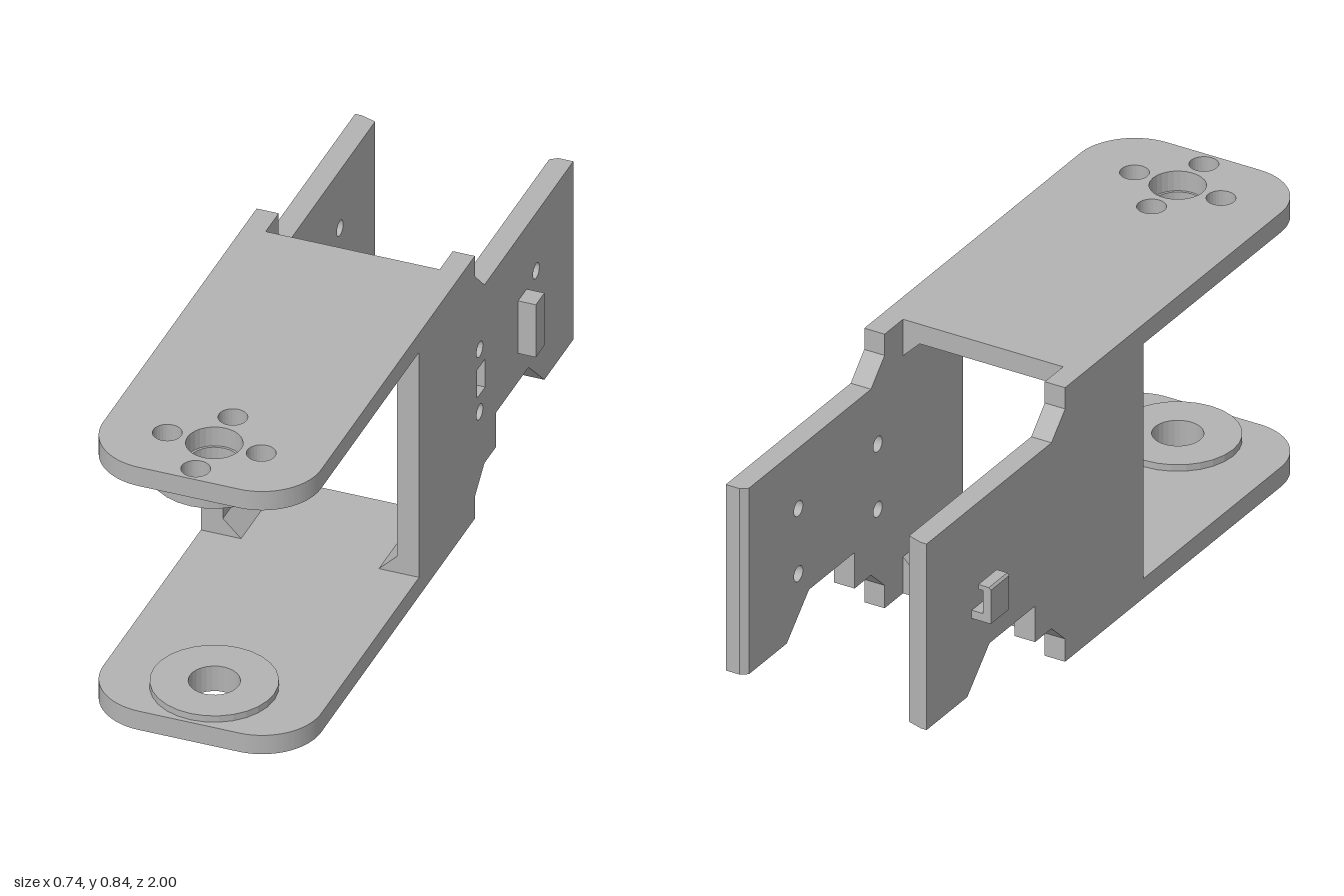
import * as THREE from 'three';

const grey = new THREE.MeshStandardMaterial({ color: 0xb3b3b3 });
grey.name = 'bracket grey';

const HALF = 0.3135, INNER = 0.25;   // outer and inner half widths
const HEIGHT = 0.84, PLATE = 0.06;   // total height, plate thickness
const HUB_Z = 0.815;                 // pivot axis

const outline = (pts) => new THREE.Shape(pts.map(([a, b]) => new THREE.Vector2(a, b)));

function circle(x, y, r) {
  return new THREE.Path().absarc(x, y, r, 0, Math.PI * 2, true);
}

function extrude(shape, depth) {
  return new THREE.ExtrudeGeometry(shape, { depth, bevelEnabled: false, curveSegments: 14 });
}

function addMesh(parent, name, geometry) {
  const mesh = new THREE.Mesh(geometry, grey);
  mesh.name = name;
  parent.add(mesh);
  return mesh;
}

// Horizontal slab: the shape is drawn in (x, -z) and raised from y0 to y1
function slab(parent, name, shape, y0, y1) {
  const g = extrude(shape, y1 - y0).rotateX(-Math.PI / 2).translate(0, y0, 0);
  return addMesh(parent, name, g);
}

// Arm plate with rounded front corners and a pivot hole pattern
function armShape(boreRadius, screwRadius) {
  const s = new THREE.Shape();
  const r = 0.17;
  s.moveTo(-HALF + r, -1);
  s.lineTo(HALF - r, -1);
  s.absarc(HALF - r, -1 + r, r, -Math.PI / 2, 0, false);
  s.lineTo(HALF, -0.12);
  s.lineTo(INNER, -0.12);
  s.lineTo(INNER, 0.19);
  s.lineTo(-INNER, 0.19);
  s.lineTo(-INNER, -0.12);
  s.lineTo(-HALF, -0.12);
  s.absarc(-HALF + r, -1 + r, r, Math.PI, Math.PI * 1.5, false);
  s.holes.push(circle(0, -HUB_Z, boreRadius), ...screwHoles(screwRadius));
  return s;
}

function screwHoles(r) {
  return [[1, 0], [0, 1], [-1, 0], [0, -1]].map(([a, b]) =>
    circle(a * 0.135, -HUB_Z + b * 0.135, r));
}

function hubShape(withScrews) {
  const s = new THREE.Shape().absarc(0, -HUB_Z, 0.173, 0, Math.PI * 2, false);
  s.holes.push(circle(0, -HUB_Z, 0.07));
  if (withScrews) s.holes.push(...screwHoles(0.022));
  return s;
}

// Side wall profile in (-z, y)
function wallShape(screws, slot) {
  const s = outline([
    [-0.12, 0], [0.285, 0], [0.285, 0.07], [0.355, 0.135], [0.44, 0.135], [0.44, 0.245],
    [0.675, 0.245], [0.79, 0.135], [1, 0.135], [1, 0.705], [0.355, 0.705],
    [0.285, 0.775], [0.285, HEIGHT], [-0.12, HEIGHT],
  ]);
  if (screws) {
    for (const u of [0.32, 0.73]) for (const y of [0.32, 0.52]) s.holes.push(circle(u, y, 0.023));
  }
  if (slot) {
    s.holes.push(outline([[0.3, 0.375], [0.3, 0.465], [0.36, 0.465], [0.36, 0.375]]));
  }
  return s;
}

// One layer of a wall between x0 and x1; the inner rear edge is bevelled
function wallLayer(parent, name, shape, x0, x1) {
  const g = extrude(shape, x1 - x0).rotateY(Math.PI / 2).translate(x0, 0, 0);
  const p = g.attributes.position;
  for (let i = 0; i < p.count; i++) {
    if (p.getZ(i) < -0.999 && Math.abs(p.getX(i)) < INNER + 0.001) p.setZ(i, -0.985);
  }
  g.computeVertexNormals();
  addMesh(parent, name, g);
}

export function createModel() {
  const model = new THREE.Group();
  model.name = 'bracket';
  const body = new THREE.Group();
  body.name = 'bracketBody';
  body.position.x = 0.003;
  model.add(body);

  // Arms and pivot hubs
  slab(body, 'upperArm', armShape(0.077, 0.04), HEIGHT - PLATE, HEIGHT);
  slab(body, 'lowerArm', armShape(0.07, 0.022), 0, PLATE);
  slab(body, 'upperHub', hubShape(true), 0.743, HEIGHT - PLATE);
  slab(body, 'lowerHub', hubShape(false), PLATE, 0.08);

  // Left wall has through screw holes and a blind slot; right wall has blind screw holes
  const mid = 0.295;
  wallLayer(body, 'leftWallInner', wallShape(true, false), INNER, 0.27);
  wallLayer(body, 'leftWallOuter', wallShape(true, true), 0.27, HALF);
  wallLayer(body, 'rightWallInner', wallShape(true, false), -mid, -INNER);
  wallLayer(body, 'rightWallOuter', wallShape(false, false), -HALF, -mid);

  // Triangular fillets along the inner corners
  const c = 0.052;
  for (const sx of [-1, 1]) {
    for (const top of [false, true]) {
      const y = top ? HEIGHT - PLATE : PLATE;
      const dy = top ? -c : c;
      const tri = outline([[sx * INNER, y], [sx * (INNER - c), y], [sx * INNER, y + dy]]);
      addMesh(body, 'cornerFillet', extrude(tri, 0.31).translate(0, 0, -0.19));
    }
  }

  // Rectangular lug on the left wall
  const lug = addMesh(body, 'lug', new THREE.BoxGeometry(0.052, 0.168, 0.062));
  lug.position.set(HALF + 0.025, 0.42, -0.63);

  // Cable hook on the right wall
  const hook = outline([
    [-0.312, 0.365], [-0.373, 0.365], [-0.373, 0.468], [-0.367, 0.475], [-0.334, 0.475],
    [-0.334, 0.461], [-0.348, 0.461], [-0.348, 0.39], [-0.312, 0.39],
  ]);
  addMesh(body, 'cableHook', extrude(hook, 0.095).translate(0, 0, -0.767));

  return model;
}
